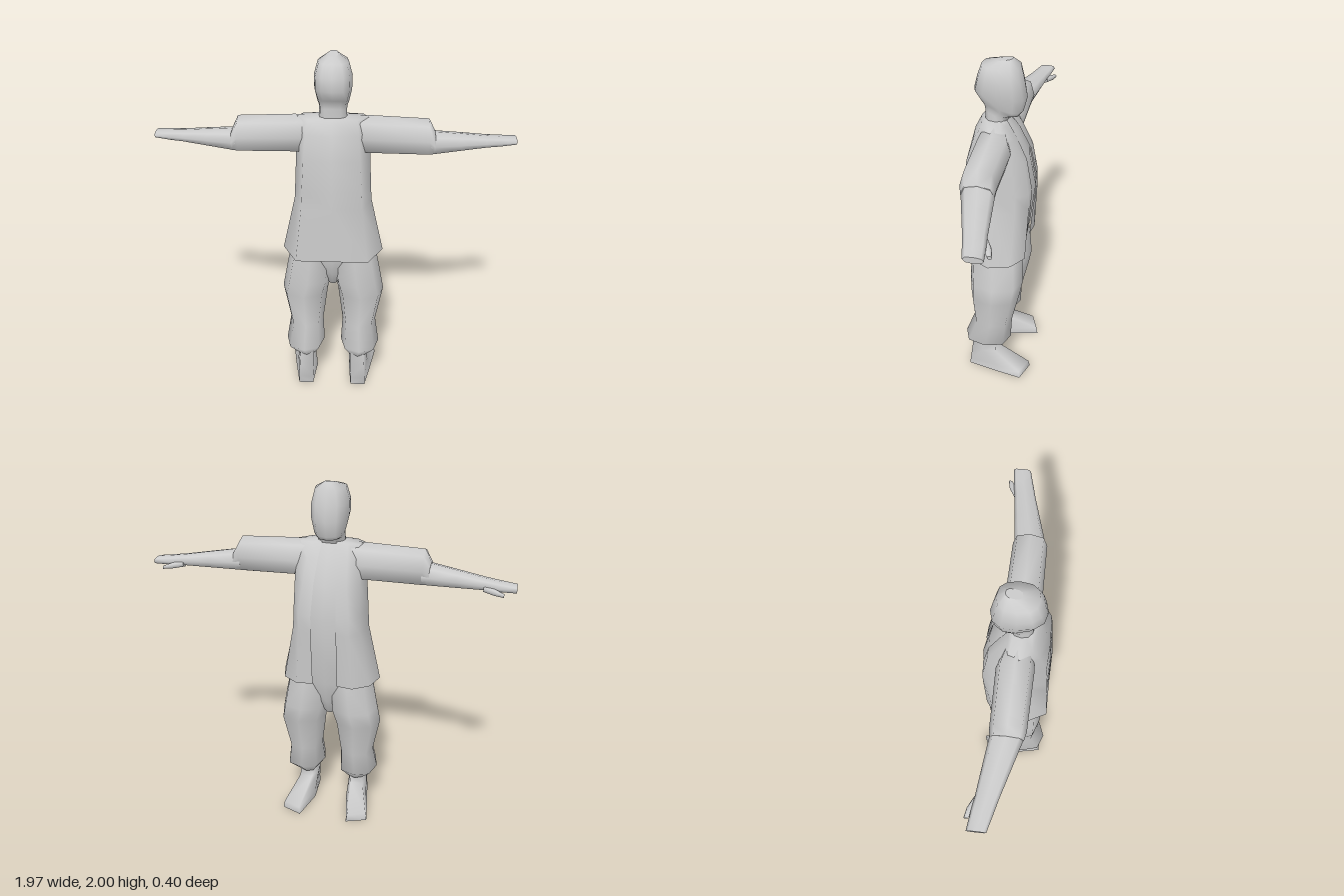
import * as THREE from 'three';

const material = new THREE.MeshStandardMaterial({ color: 0xcccccc });
const openMaterial = new THREE.MeshStandardMaterial({ color: 0xcccccc, side: THREE.DoubleSide });

// Skin a list of equal-length rings; solid lofts get flat caps, open ones are thin sheets
function loft(name, rings, open = false) {
  const n = rings[0].length;
  const points = rings.flat();
  const index = [];
  for (let r = 0; r < rings.length - 1; r++) {
    for (let i = 0; i < (open ? n - 1 : n); i++) {
      const a = r * n + i, b = r * n + (i + 1) % n;
      index.push(a, b, b + n, a, b + n, a + n);
    }
  }
  if (!open) {
    [rings[0], rings[rings.length - 1]].forEach((ring, end) => {
      const start = points.length;
      const middle = [0, 1, 2].map(k => ring.reduce((sum, p) => sum + p[k], 0) / n);
      points.push(...ring, middle);
      for (let i = 0; i < n; i++) {
        const a = start + i, b = start + (i + 1) % n;
        index.push(start + n, end ? a : b, end ? b : a);
      }
    });
  }
  // Turn the faces outward, whichever way the rings run
  const v = points.map(p => new THREE.Vector3(...p));
  const centre = v.reduce((sum, p) => sum.add(p), new THREE.Vector3()).divideScalar(v.length);
  v.forEach(p => p.sub(centre));
  let volume = 0;
  for (let i = 0; i < index.length; i += 3) {
    volume += v[index[i]].dot(v[index[i + 1]].clone().cross(v[index[i + 2]]));
  }
  if (volume < 0) index.reverse();
  const geometry = new THREE.BufferGeometry();
  geometry.setAttribute('position', new THREE.Float32BufferAttribute(points.flat(), 3));
  geometry.setIndex(index);
  geometry.computeVertexNormals();
  const mesh = new THREE.Mesh(geometry, open ? openMaterial : material);
  mesh.name = name;
  return mesh;
}

// Slightly squared oval as [u, v] pairs between the given limits
function oval(u0, u1, v0, v1, n = 8) {
  const bulge = t => Math.sign(t) * Math.abs(t) ** 0.8;
  return Array.from({ length: n }, (_, i) => {
    const a = i / n * Math.PI * 2;
    return [
      (u0 + u1) / 2 + (u1 - u0) / 2 * bulge(Math.cos(a)),
      (v0 + v1) / 2 + (v1 - v0) / 2 * bulge(Math.sin(a)),
    ];
  });
}

// Level ring; its height may differ between front (z0) and back (z1)
const levelRing = (s, y0, y1, x0, x1, z0, z1, n) => oval(x0, x1, z0, z1, n)
  .map(([x, z]) => [s * x, y0 + (y1 - y0) * (z - z0) / (z1 - z0), z]);

// Upright ring across an arm
const armRing = (s, x, y0, y1, z0, z1) => oval(y0, y1, z0, z1).map(([y, z]) => [s * x, y, z]);

function createModel() {
  const model = new THREE.Group();
  model.name = 'figure';

  // Head with neck: front height, back height, half width, front z, back z
  model.add(loft('head', [
    [1.62, 1.62, 0.08, -0.03, 0.09],
    [1.69, 1.73, 0.072, -0.03, 0.092],
    [1.70, 1.76, 0.076, -0.09, 0.1],
    [1.72, 1.78, 0.083, -0.105, 0.115],
    [1.80, 1.835, 0.098, -0.125, 0.15],
    [1.88, 1.9, 0.1, -0.11, 0.133],
    [1.96, 1.965, 0.08, -0.092, 0.11],
    [2.0, 1.985, 0.025, -0.05, 0.03],
  ].map(([y0, y1, w, z0, z1]) => levelRing(1, y0, y1, -w, w, z0, z1, 12))));

  // Shirt and hips seen through the open jacket
  model.add(loft('shirtAndHips', [
    [0.65, 0.025, -0.04, 0.05],
    [0.75, 0.1, -0.1, 0.12],
    [0.88, 0.19, -0.13, 0.155],
    [1.05, 0.18, -0.155, 0.15],
    [1.28, 0.17, -0.18, 0.15],
    [1.47, 0.15, -0.142, 0.14],
    [1.6, 0.12, -0.08, 0.12],
    [1.67, 0.07, -0.03, 0.085],
  ].map(([y, w, z0, z1]) => levelRing(1, y, y, -w, w, z0, z1, 12))));

  // Jacket: half outlines [x, z] from the front edge round to the spine
  const jacket = [
    [0.88, [[0.07, -0.14], [0.16, -0.155], [0.25, -0.09], [0.285, 0.03], [0.2, 0.195], [0, 0.192]]],
    [1.2, [[0.07, -0.168], [0.14, -0.168], [0.19, -0.1], [0.213, 0.03], [0.165, 0.182], [0, 0.187]]],
    [1.3, [[0.07, -0.17], [0.14, -0.165], [0.185, -0.1], [0.208, 0.03], [0.16, 0.178], [0, 0.183]]],
    [1.47, [[0.06, -0.138], [0.12, -0.138], [0.18, -0.08], [0.2, 0.02], [0.15, 0.168], [0, 0.174]]],
    [1.6, [[0.05, -0.076], [0.11, -0.08], [0.17, -0.05], [0.2, 0.02], [0.14, 0.13], [0, 0.15]]],
    [1.672, [[0.04, -0.03], [0.1, -0.03], [0.16, -0.02], [0.19, 0.03], [0.13, 0.09], [0, 0.115]]],
    [1.68, [[0.03, -0.02], [0.05, -0.01], [0.06, 0.01], [0.06, 0.04], [0.05, 0.08], [0, 0.09]]],
  ];
  model.add(loft('jacket', jacket.map(([y, half]) => [
    ...half.map(([x, z]) => [x, y, z]),
    ...half.slice(0, -1).reverse().map(([x, z]) => [-x, y, z]),
  ]), true));

  for (const s of [1, -1]) {
    const side = new THREE.Group();
    side.name = s > 0 ? 'leftLimbs' : 'rightLimbs';
    model.add(side);

    // Sleeve: x, low y, high y, front z, back z; the end leans outward
    const sleeve = [
      [0.1, 1.47, 1.675, -0.05, 0.1],
      [0.2, 1.468, 1.677, -0.08, 0.11],
      [0.505, 1.465, 1.665, -0.075, 0.105],
      [0.54, 1.475, 1.595, -0.07, 0.095],
    ];
    side.add(loft('sleeve', sleeve.map(r => armRing(s, ...r))));

    // Forearm running into a flat hand
    const arm = [
      [0.5, 1.475, 1.595, -0.07, 0.095],
      [0.54, 1.475, 1.59, -0.072, 0.092],
      [0.68, 1.485, 1.572, -0.088, 0.052],
      [0.82, 1.495, 1.553, -0.103, 0.012],
      [0.9, 1.497, 1.545, -0.115, -0.008],
      [0.985, 1.503, 1.538, -0.125, -0.03],
    ];
    side.add(loft('forearmAndHand', arm.map(r => armRing(s, ...r))));

    // Thumb
    const thumb = [
      [0.82, 1.492, 1.53, -0.105, -0.06],
      [0.875, 1.487, 1.52, -0.135, -0.09],
      [0.925, 1.486, 1.505, -0.145, -0.125],
    ];
    side.add(loft('thumb', thumb.map(r => armRing(s, ...r))));

    // Baggy trouser leg: y, inner x, outer x, front z, back z
    const leg = [
      [0.95, 0, 0.22, -0.12, 0.15],
      [0.88, 0, 0.245, -0.135, 0.16],
      [0.7, 0.005, 0.28, -0.145, 0.165],
      [0.61, 0.03, 0.297, -0.13, 0.16],
      [0.4, 0.058, 0.255, -0.085, 0.145],
      [0.26, 0.05, 0.278, -0.08, 0.197],
      [0.19, 0.1, 0.205, -0.01, 0.15],
    ];
    side.add(loft('trouserLeg', leg.map(([y, x0, x1, z0, z1]) => levelRing(s, y, y, x0, x1, z0, z1))));

    // Foot with toes turned out: [x, z] from heel round the outside to the inner edge
    const foot = [
      [0, [[0.115, 0.175], [0.2, 0.175], [0.235, 0], [0.262, -0.155], [0.145, -0.2], [0.1, 0]]],
      [0.042, [[0.115, 0.17], [0.2, 0.17], [0.225, 0], [0.255, -0.15], [0.15, -0.192], [0.1, 0]]],
      [0.14, [[0.11, 0.158], [0.195, 0.158], [0.21, 0.09], [0.2, 0.01], [0.125, 0.01], [0.1, 0.08]]],
      [0.22, [[0.11, 0.15], [0.19, 0.15], [0.205, 0.08], [0.19, 0.01], [0.11, 0.01], [0.1, 0.08]]],
    ];
    side.add(loft('foot', foot.map(([y, outline]) => outline.map(([x, z]) => [s * x, y, z]))));
  }
  return model;
}

export { createModel };
